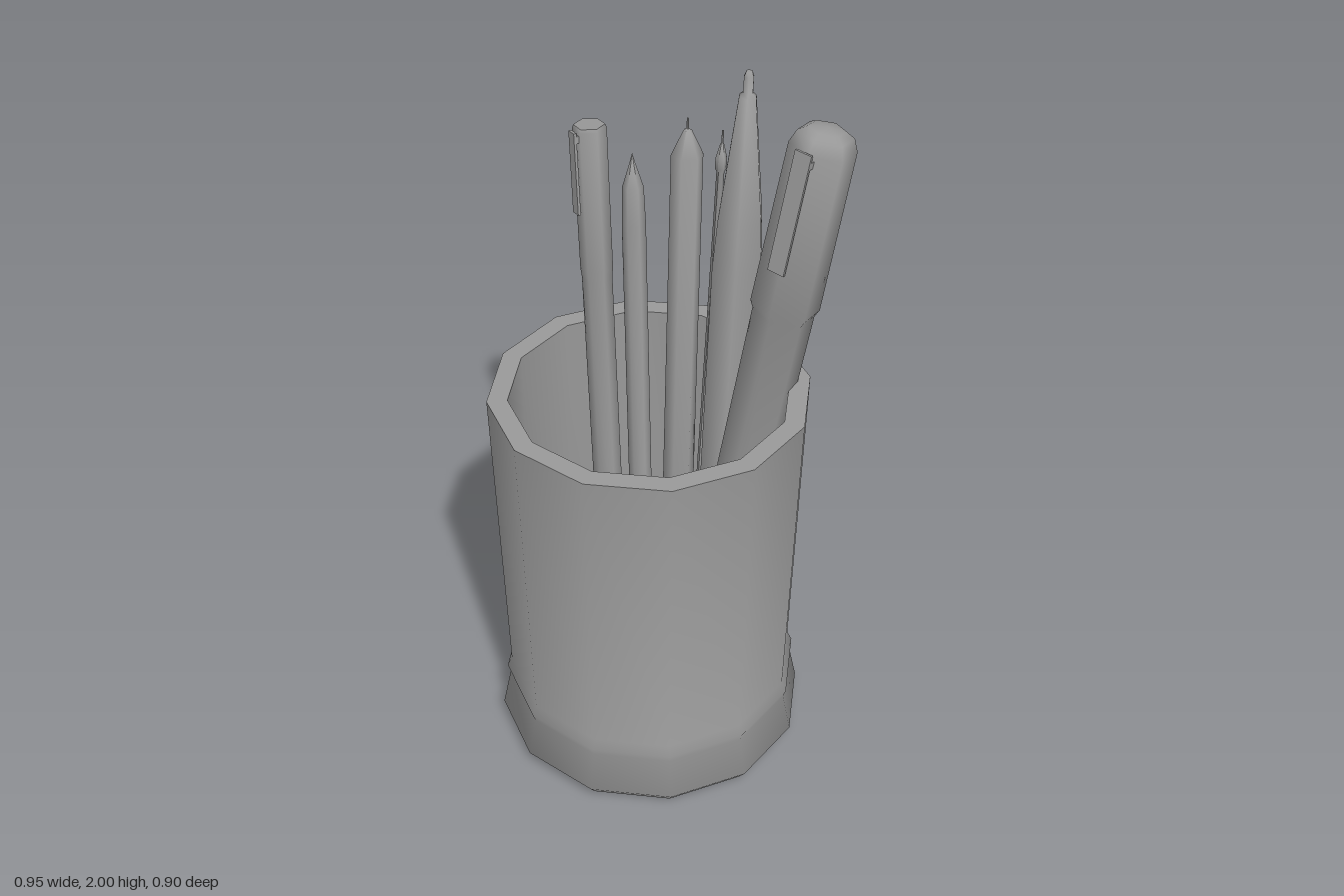
import * as THREE from 'three';
import { toCreasedNormals } from 'three/addons/utils/BufferGeometryUtils.js';

const UP = new THREE.Vector3(0, 1, 0);
const FLOOR = 0.2;
const material = new THREE.MeshStandardMaterial({ color: 0x999999 });

function mesh(name, geometry) {
  const m = new THREE.Mesh(geometry, material);
  m.name = name;
  return m;
}

// Turned solid with few sides, soft around its girth and sharp at its end caps
function turned(profile, sides, spin) {
  const points = profile.map(([r, y]) => new THREE.Vector2(r, y));
  return toCreasedNormals(new THREE.LatheGeometry(points, sides, spin), 1.2);
}

// Leaning pen: profile and clip heights are vertical heights, stretched along the axis
function pen({ name, foot, head, top, profile, spin = 0, clip }) {
  const start = new THREE.Vector3(foot[0], FLOOR, foot[1]);
  const axis = new THREE.Vector3(head[0], top, head[1]).sub(start);
  const stretch = axis.length() / axis.y;
  const along = (h) => (h - FLOOR) * stretch;
  const group = new THREE.Group();
  group.name = name;
  group.position.copy(start);
  group.quaternion.setFromUnitVectors(UP, axis.normalize());
  group.add(mesh(name + 'Body', turned(profile.map(([r, h]) => [r, along(h)]), 6, spin)));

  // Pocket clip: a strip held off the barrel by a small bridge at one end
  if (clip) {
    const { angle, radius, from, to, width, bridge } = clip;
    const holder = new THREE.Group();
    holder.name = 'clip';
    holder.rotation.y = angle;
    const strip = mesh('clipStrip', new THREE.BoxGeometry(width, along(to) - along(from), 0.008));
    strip.position.set(0, (along(from) + along(to)) / 2, radius);
    const link = mesh('clipBridge', new THREE.BoxGeometry(width, 0.02, 0.024));
    link.position.set(0, along(bridge), radius - 0.012);
    holder.add(strip, link);
    group.add(holder);
  }
  return group;
}

export function createModel() {
  const model = new THREE.Group();
  model.name = 'penHolder';

  // Twelve-sided cup: flared foot, bead, slightly widening wall, thick rim and raised floor
  const cup = mesh('cup', turned([
    [0, 0], [0.415, 0], [0.43, 0.01], [0.456, 0.045], [0.43, 0.17], [0.438, 0.195],
    [0.424, 0.225], [0.447, 1.19], [0.39, 1.19], [0.39, FLOOR], [0, FLOOR],
  ], 12, 0.143));
  cup.position.x = -0.03;
  model.add(cup);

  const pens = [
    // Thick capped marker
    {
      name: 'cappedMarker', foot: [0.088, 0.1], head: [0.405, 0.145], top: 1.94,
      profile: [[0, FLOOR], [0.08, FLOOR], [0.085, 1.41], [0.095, 1.43], [0.09, 1.89],
        [0.075, 1.925], [0.05, 1.94], [0, 1.945]],
      clip: { angle: -1.15, radius: 0.096, from: 1.56, to: 1.9, width: 0.05, bridge: 1.87 },
    },
    // Tall marker standing point up
    {
      name: 'pointedMarker', foot: [0.212, -0.028], head: [0.338, -0.125], top: 2, spin: 0.44,
      profile: [[0, FLOOR], [0.072, FLOOR], [0.077, 0.6], [0.077, 1.44], [0.068, 1.58],
        [0.026, 1.93], [0.015, 1.94], [0.015, 1.985], [0.008, 2], [0, 2]],
      clip: { angle: 3.14, radius: 0.082, from: 0.24, to: 0.6, width: 0.03, bridge: 0.26 },
    },
    // Slender needle-tipped pen
    {
      name: 'needlePen', foot: [0.19, -0.13], head: [0.338, -0.248], top: 1.77,
      profile: [[0, FLOOR], [0.011, FLOOR], [0.011, 1.65], [0.016, 1.66], [0.016, 1.69],
        [0.006, 1.73], [0.003, 1.735], [0.003, 1.77], [0, 1.77]],
    },
    // Ballpoint standing point up
    {
      name: 'ballpoint', foot: [0.165, -0.19], head: [0.237, -0.265], top: 1.825, spin: 0.17,
      profile: [[0, FLOOR], [0.042, FLOOR], [0.047, 0.6], [0.045, 1.72], [0.012, 1.79],
        [0.004, 1.795], [0.003, 1.825], [0, 1.825]],
      clip: { angle: -2.1, radius: 0.055, from: 0.24, to: 0.6, width: 0.02, bridge: 0.26 },
    },
    // Sharpened pencil
    {
      name: 'pencil', foot: [0.073, -0.233], head: [0.132, -0.388], top: 1.69,
      profile: [[0, FLOOR], [0.034, FLOOR], [0.034, 1.48], [0.03, 1.59], [0.008, 1.66], [0, 1.69]],
    },
    // Capped pen at the back
    {
      name: 'cappedPen', foot: [-0.02, -0.255], head: [0.003, -0.39], top: 1.81,
      profile: [[0, FLOOR], [0.042, FLOOR], [0.043, 1.35], [0.046, 1.38], [0.047, 1.8],
        [0.043, 1.81], [0, 1.81]],
      clip: { angle: -1.55, radius: 0.052, from: 1.56, to: 1.8, width: 0.03, bridge: 1.78 },
    },
  ];
  pens.forEach((spec) => model.add(pen(spec)));
  return model;
}
